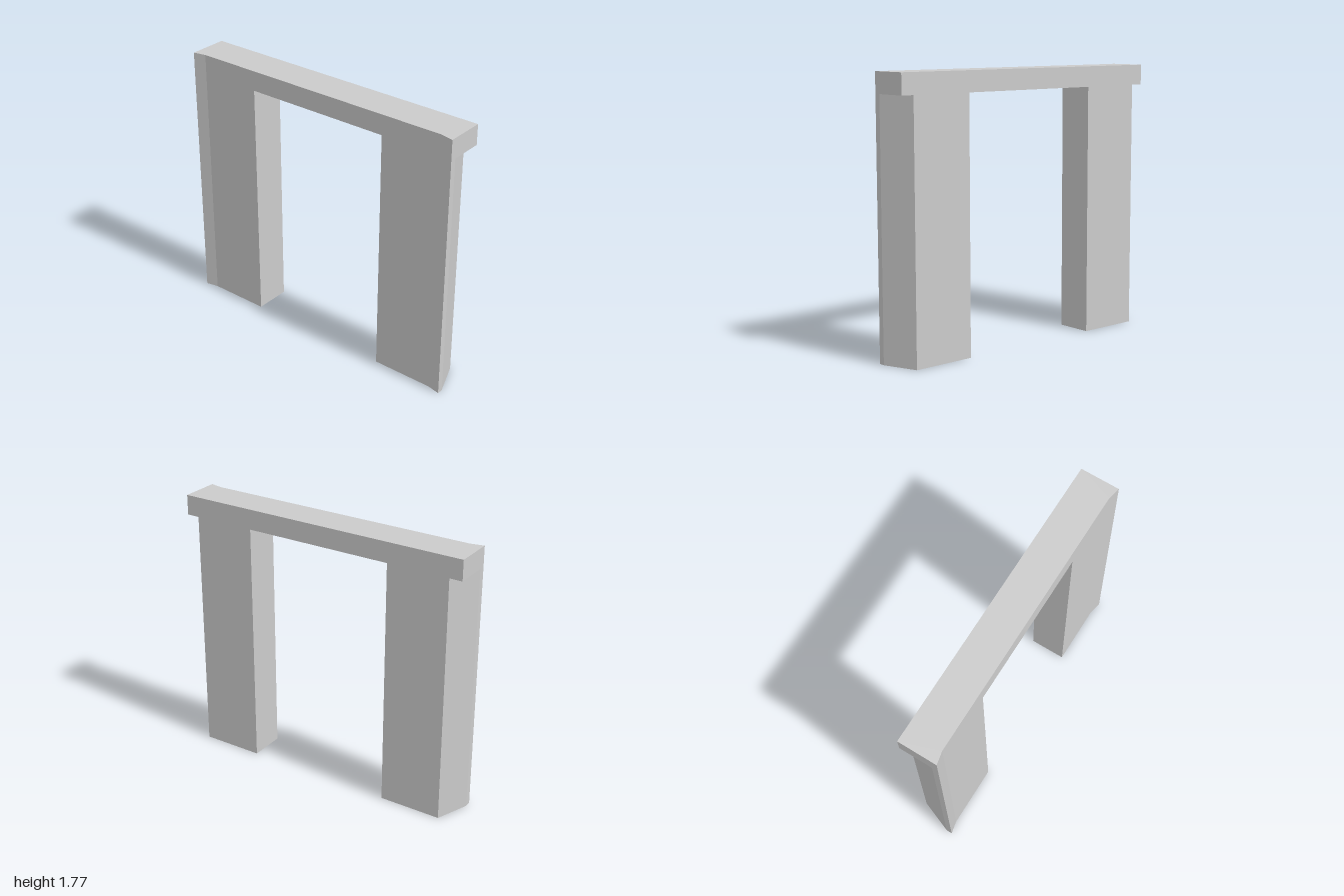
import * as THREE from 'three';

const HEIGHT = 1.77, UNDERSIDE = 1.637, BACK = -0.13, FRONT = 0.112, FLARE = 0.13;

// Extrudes a plan outline of [x, z] points upward from y0 to y1
function planPrism(name, points, y0, y1) {
  const shape = new THREE.Shape(points.map(([x, z]) => new THREE.Vector2(x, -z)));
  const geometry = new THREE.ExtrudeGeometry(shape, { depth: y1 - y0, bevelEnabled: false });
  geometry.rotateX(-Math.PI / 2).translate(0, y0, 0);
  const material = new THREE.MeshStandardMaterial({ color: 0xcccccc, flatShading: true });
  const mesh = new THREE.Mesh(geometry, material);
  mesh.name = name;
  return mesh;
}

export function createModel() {
  const group = new THREE.Group();
  group.name = 'doorFrame';

  // Lintel with front corners that flare forward
  group.add(planPrism('lintel', [
    [-1, BACK], [1, BACK], [1, FLARE], [0.915, FRONT], [-0.915, FRONT], [-1, FLARE],
  ], UNDERSIDE, HEIGHT));

  // Posts: the outer side slants inward towards the back
  for (const [name, s] of [['leftPost', 1], ['rightPost', -1]]) {
    group.add(planPrism(name, [
      [0.5, BACK], [0.915, BACK], [1, 0.09], [1, FLARE], [0.915, FRONT], [0.5, FRONT],
    ].map(([x, z]) => [s * x, z]), 0, UNDERSIDE));
  }
  return group;
}
